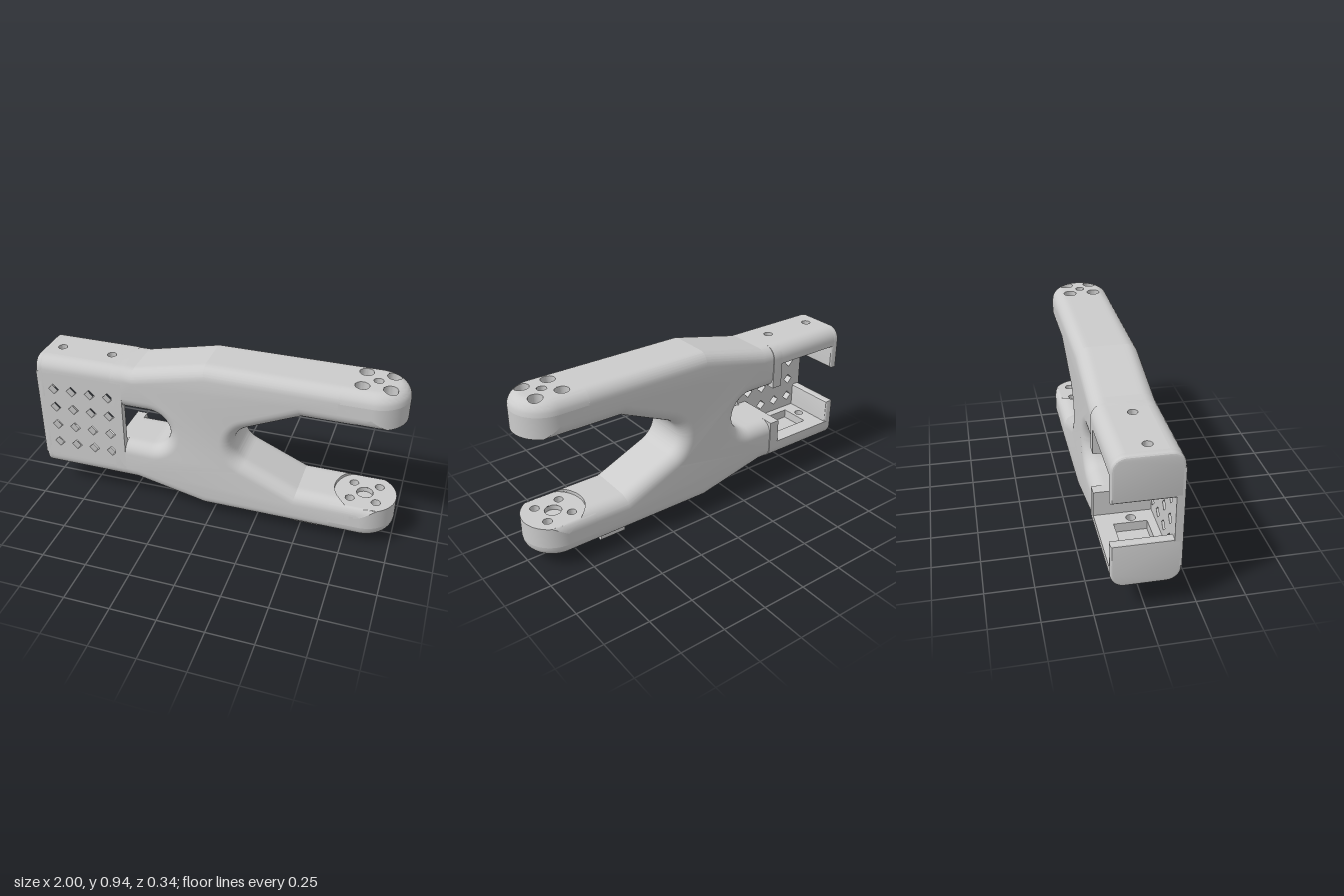
import * as THREE from 'three';
import { toCreasedNormals } from 'three/addons/utils/BufferGeometryUtils.js';

const CY = 0.5025;          // mid height; parts below use y relative to it
const W = 0.1675;           // half depth
const R = 0.07;             // edge rounding
const C = 0.8325;           // centre of the round arm tips
const TOP = 0.4425, INNER = 0.2375, PAD = 0.2575;
const material = new THREE.MeshStandardMaterial({ color: 0xcccccc });
const openMaterial = new THREE.MeshStandardMaterial({ color: 0xcccccc, side: THREE.DoubleSide });

function add(parent, name, geometry, mat = material) {
  const mesh = new THREE.Mesh(geometry, mat);
  mesh.name = name;
  parent.add(mesh);
  return mesh;
}

// Drop of a rounded edge at distance d from the rim
const fillet = (d) => (d >= R ? 0 : R - Math.sqrt(Math.max(0, R * R - (R - d) ** 2)));
const topHeight = (x, z) => TOP - fillet(Math.max(0, W - Math.hypot(Math.max(0, x - C), z)));
const padHeight = (x, z) => Math.max(PAD, INNER + fillet(Math.max(0, W - Math.abs(z))));

// Forked body: one outline with rounded edges, its ends trimmed to shape
function bodyGeometry() {
  const rad = Math.PI / 180;
  const s = new THREE.Shape();
  s.moveTo(-0.62, 0.3525);
  s.lineTo(-0.44, 0.3525);
  s.lineTo(-0.04, TOP);
  s.lineTo(0.9, TOP);
  s.lineTo(0.9, INNER);
  s.lineTo(0.48, INNER);
  s.absarc(0.24, 0, 0.12, 114 * rad, 246 * rad, false);
  s.lineTo(0.48, -INNER);
  s.lineTo(0.9, -INNER);
  s.lineTo(0.9, -TOP);
  s.lineTo(-0.04, -TOP);
  s.lineTo(-0.44, -0.3525);
  s.lineTo(-0.62, -0.3525);
  s.lineTo(-0.62, -0.1125);
  s.absarc(-0.355, 0, 0.1125, -90 * rad, 90 * rad, false);
  s.lineTo(-0.62, 0.1125);
  const g = new THREE.ExtrudeGeometry(s, {
    depth: 2 * (W - R), steps: 10, curveSegments: 24,
    bevelEnabled: true, bevelSize: R, bevelThickness: R, bevelOffset: -R, bevelSegments: 8,
  });
  g.translate(0, 0, R - W);
  const p = g.attributes.position;
  for (let i = 0; i < p.count; i++) {
    const x = p.getX(i), y = p.getY(i), z = p.getZ(i);
    if (x < -0.5) p.setX(i, -0.5);
    if (x > 0.75) p.setX(i, Math.abs(y) > 0.35 ? 0.67 : C - Math.sqrt(Math.max(0, W * W - z * z)));
  }
  return toCreasedNormals(g, 0.21);
}

// Rim of an arm tip seen from above: straight, half round, straight
function tipRim() {
  const x0 = 0.665, n = 10, m = 44, rim = [];
  for (let i = 0; i < n; i++) rim.push([x0 + (C - x0) * i / n, W]);
  for (let i = 0; i <= m; i++) {
    const a = Math.PI * (0.5 - i / m);
    rim.push([C + W * Math.cos(a), W * Math.sin(a)]);
  }
  for (let i = n - 1; i >= 0; i--) rim.push([x0 + (C - x0) * i / n, -W]);
  return rim;
}

// Grid of points; cells inside a hole [x, z, r] are left out and its rim snapped
function sheet(nu, nv, point, holes = [], flip = false) {
  const pos = [], inside = [], index = [];
  for (let j = 0; j <= nv; j++) for (let i = 0; i <= nu; i++) {
    let [x, z, height] = point(i, j), snapped = false;
    for (const [hx, hz, r] of holes) {
      const d = Math.hypot(x - hx, z - hz);
      if (d < r) {
        const a = Math.atan2(z - hz, x - hx);
        x = hx + r * Math.cos(a);
        z = hz + r * Math.sin(a);
        snapped = true;
      }
    }
    pos.push(x, height(x, z), z);
    inside.push(snapped);
  }
  const tri = (a, b, c) => {
    if (inside[a] && inside[b] && inside[c]) return;
    if (flip) index.push(a, c, b); else index.push(a, b, c);
  };
  for (let j = 0; j < nv; j++) for (let i = 0; i < nu; i++) {
    const a = j * (nu + 1) + i, b = a + nu + 1;
    tri(a, a + 1, b);
    tri(a + 1, b + 1, b);
  }
  const g = new THREE.BufferGeometry();
  g.setAttribute('position', new THREE.Float32BufferAttribute(pos, 3));
  g.setIndex(index);
  return toCreasedNormals(g, 0.5);
}

// Hole lining turned from a profile, trimmed to the rounded top
function well(x, z, profile) {
  const g = new THREE.LatheGeometry(profile.map(([r, y]) => new THREE.Vector2(r, y)), 24);
  g.translate(x, 0, z);
  const p = g.attributes.position;
  for (let i = 0; i < p.count; i++) p.setY(i, Math.min(p.getY(i), topHeight(p.getX(i), p.getZ(i))));
  return toCreasedNormals(g, 0.5);
}

// Arm tip with mounting pad and screw holes
function makeTip() {
  const tip = new THREE.Group();
  const rim = tipRim(), nu = rim.length - 1, nv = 22;
  const inward = (height) => (i, j) => {
    const [x, z] = rim[i], v = (j / nv) ** 1.3;
    return [x + (Math.min(x, C) - x) * v, z * (1 - v), height];
  };
  const spots = [-1, 1].flatMap((a) => [-1, 1].map((b) => [0.83 + a * 0.07, b * 0.07]));
  const holes = (r, centre) => [...spots.map(([x, z]) => [x, z, r]), [0.83, 0, centre]];
  add(tip, 'tipTop', sheet(nu, nv, inward(topHeight), holes(0.037, 0.025)));
  add(tip, 'tipPad', sheet(nu, nv, inward(padHeight), holes(0.025, 0.045), true));
  add(tip, 'tipWall', sheet(nu, 1, (i, j) => [...rim[i], j ? topHeight : padHeight]));
  for (const [x, z] of spots) {
    add(tip, 'screwHole', well(x, z, [[0.025, PAD], [0.025, 0.32], [0.037, 0.32], [0.037, 0.46]]), openMaterial);
  }
  add(tip, 'shaftRecess', well(0.83, 0, [[0, 0.285], [0.045, 0.285], [0.045, PAD]]), openMaterial);
  add(tip, 'centreHole', well(0.83, 0, [[0, 0.4], [0.025, 0.4], [0.025, 0.46]]), openMaterial);
  return tip;
}

// Extrude a [z, y] shape along x
function alongX(shape, x0, x1, bevel = 0) {
  const g = new THREE.ExtrudeGeometry(shape, {
    depth: x1 - x0 - 2 * bevel, bevelEnabled: bevel > 0, curveSegments: 8,
    bevelSize: bevel, bevelThickness: bevel, bevelOffset: -bevel, bevelSegments: 3,
  });
  g.rotateY(Math.PI / 2).translate(x0 + bevel, 0, 0);
  return toCreasedNormals(g, 0.4);
}
const polygon = (pts) => new THREE.Shape(pts.map(([z, y]) => new THREE.Vector2(-z, y)));

// Wall section from z0 to z1; outer corners listed as rounded get a quarter round
function wallShape(side, z0, z1, inner, roundBack, roundFront) {
  const outer = 0.3525, pts = [[z0, inner * side]];
  for (const [z, dir, on] of [[z0, 1, roundBack], [z1, -1, roundFront]]) {
    const arc = [];
    for (let i = 0; i <= 8; i++) {
      const a = i / 8 * Math.PI / 2;
      arc.push([z + dir * R * (1 - Math.cos(a)), side * (outer - R + R * Math.sin(a))]);
    }
    if (!on) pts.push([z, side * outer]);
    else pts.push(...(dir > 0 ? arc : arc.reverse()));
  }
  pts.push([z1, inner * side]);
  return polygon(pts);
}

// Flat slab in x and z with round holes and an optional pocket
function slab(y0, y1, pocket) {
  const rect = (T, x0, x1, z) => new T([[x0, -z], [x1, -z], [x1, z], [x0, z]].map((p) => new THREE.Vector2(...p)));
  const s = rect(THREE.Shape, -0.97, -0.53, 0.0975);
  for (const x of [-0.905, -0.61]) s.holes.push(new THREE.Path().absarc(x, -0.01, 0.025, 0, Math.PI * 2, true));
  if (pocket) s.holes.push(rect(THREE.Path, -0.86, -0.65, 0.085));
  const g = new THREE.ExtrudeGeometry(s, { depth: y1 - y0, bevelEnabled: false, curveSegments: 12 });
  return toCreasedNormals(g.rotateX(-Math.PI / 2).translate(0, y0, 0), 0.6);
}

// Open-backed box with a vented front plate
function makeBox() {
  const box = new THREE.Group();
  box.name = 'batteryBox';
  const back = -0.172;
  for (const side of [-1, 1]) {
    add(box, 'endWall', alongX(wallShape(side, back, W, 0.1125, true, true), -1, -0.95, 0.014));
    add(box, 'innerWall', alongX(wallShape(side, back, W, 0.1125, true, true), -0.56, -0.5));
    add(box, 'frontRail', alongX(wallShape(side, 0.0975, W, 0.25, false, true), -0.966, -0.53));
    add(box, 'backRail', alongX(wallShape(side, back, -0.0975, 0.25, true, false), -0.966, -0.53));
    const [a, b, c] = [0.25, 0.3, 0.3525];
    add(box, 'outerSlab', side > 0 ? slab(b, c, false) : slab(-c, -b, false));
    add(box, 'ledgeSlab', side > 0 ? slab(a, b, true) : slab(-b, -a, true));
  }
  const s = new THREE.Shape([[-1, -0.27], [-0.5, -0.27], [-0.5, 0.27], [-1, 0.27]].map((p) => new THREE.Vector2(...p)));
  for (const x of [-0.905, -0.797, -0.689, -0.581]) for (const y of [0.17, 0.054, -0.062, -0.178]) {
    const d = 0.031;
    s.holes.push(new THREE.Path([[x - d, y], [x, y + d], [x + d, y], [x, y - d]].map((p) => new THREE.Vector2(...p))));
  }
  const plate = new THREE.ExtrudeGeometry(s, { depth: 0.04, bevelEnabled: false });
  add(box, 'ventPlate', plate.translate(0, 0, W - 0.04));
  return box;
}

export function createModel() {
  const root = new THREE.Group(), model = new THREE.Group();
  model.name = 'armFrame';
  model.position.y = CY;
  root.add(model);
  add(model, 'forkBody', bodyGeometry());
  const upper = makeTip(), lower = upper.clone();
  upper.name = 'upperTip';
  lower.name = 'lowerTip';
  lower.rotation.x = Math.PI;
  model.add(upper, lower, makeBox());

  // Cable clip under the lower arm
  const clip = new THREE.Group();
  clip.name = 'cableClip';
  clip.position.y = -CY;
  const prongs = [
    [[0.115, 0.065], [0.115, 0.055], [0.062, 0.003], [0.055, 0], [0.016, 0], [0.016, 0.018], [0.036, 0.034], [0.04, 0.05], [0.03, 0.065]],
    [[-0.03, 0.065], [-0.04, 0.05], [-0.036, 0.034], [-0.014, 0.018], [-0.014, 0], [-0.078, 0], [-0.085, 0.007], [-0.085, 0.065]],
  ];
  for (const p of prongs) add(clip, 'clipProng', alongX(polygon(p), 0.455, 0.605));
  model.add(clip);
  return root;
}
